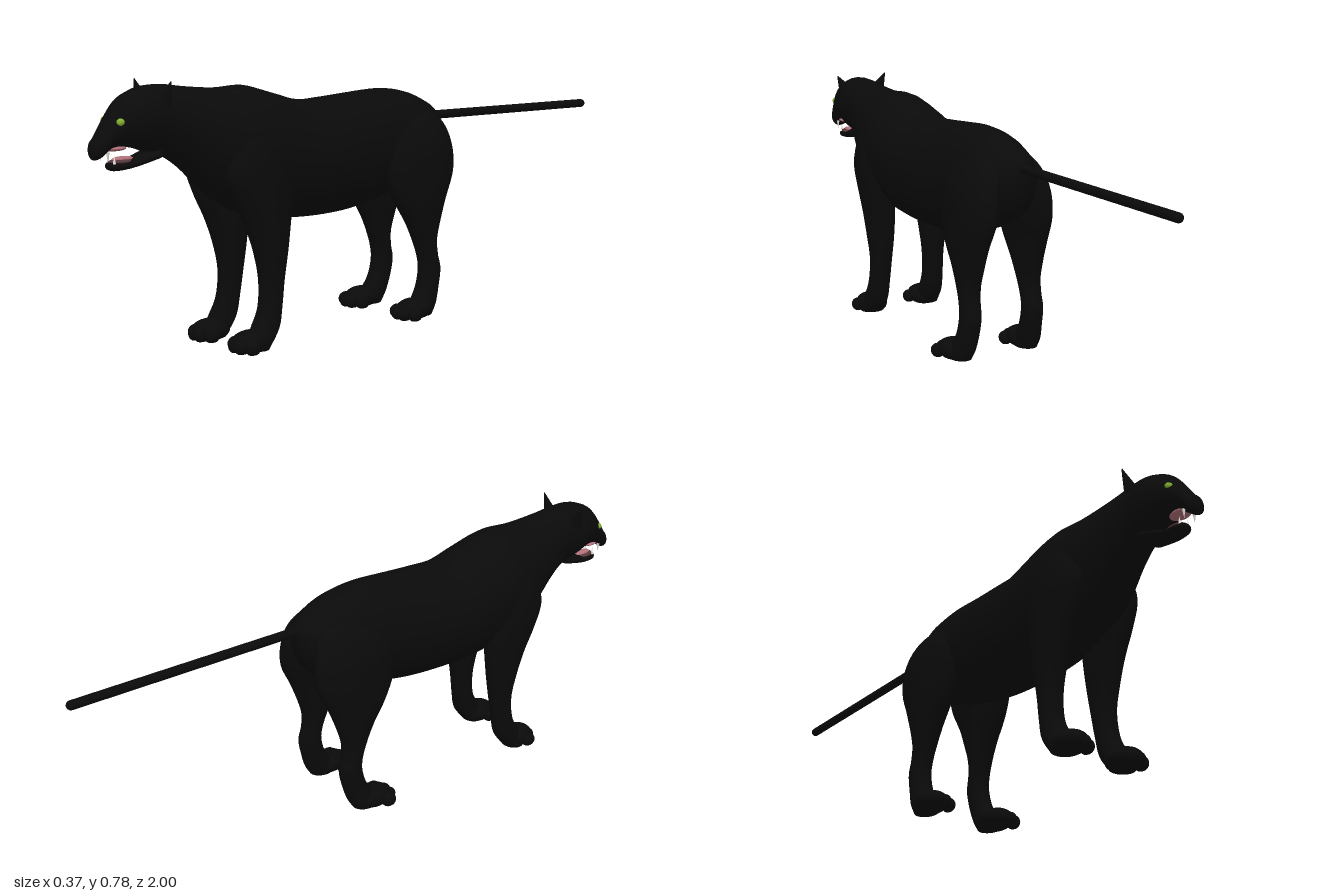
import * as THREE from 'three';

const material = (name, color) => {
  const m = new THREE.MeshStandardMaterial({ color });
  m.name = name;
  return m;
};

// Smooth skin over elliptical rings. Each row is spline-interpolated, then
// toRing(row) gives { c: centre, u, v: the two half axes }.
function loft(rows, toRing, steps = 5, sides = 32) {
  const stride = rows[0].length;
  const spline = new THREE.CubicInterpolant(rows.map((_, i) => i), rows.flat(), stride);
  const rings = [];
  const last = (rows.length - 1) * steps;
  for (let i = 0; i <= last; i++) rings.push(toRing([...spline.evaluate(i / steps)]));
  const zero = new THREE.Vector3();
  rings.unshift({ c: rings[0].c, u: zero, v: zero });
  rings.push({ c: rings[last + 1].c, u: zero, v: zero });

  const pos = [], index = [];
  rings.forEach(({ c, u, v }, i) => {
    for (let j = 0; j < sides; j++) {
      const t = (j / sides) * Math.PI * 2;
      const p = c.clone().addScaledVector(u, Math.cos(t)).addScaledVector(v, Math.sin(t));
      pos.push(p.x, p.y, p.z);
      if (i === rings.length - 1) continue;
      const a = i * sides + j, b = i * sides + ((j + 1) % sides);
      index.push(a, b, b + sides, a, b + sides, a + sides);
    }
  });
  const g = new THREE.BufferGeometry();
  g.setAttribute('position', new THREE.Float32BufferAttribute(pos, 3));
  g.setIndex(index);
  g.computeVertexNormals();
  return g;
}

// Row: z, top, bottom, half width
const alongZ = ([z, top, bottom, w]) => ({
  c: new THREE.Vector3(0, (top + bottom) / 2, z),
  u: new THREE.Vector3(Math.max(w, 0.002), 0, 0),
  v: new THREE.Vector3(0, Math.max((top - bottom) / 2, 0.002), 0),
});

// Row: y, centre x, half width, front z, back z
const downLeg = (s) => ([y, x, w, front, back]) => ({
  c: new THREE.Vector3(s * x, y, (front + back) / 2),
  u: new THREE.Vector3(w, 0, 0),
  v: new THREE.Vector3(0, 0, (front - back) / 2),
});

// Ellipsoid whose underside is flattened at the given floor height
function pad(x, y, z, rx, ry, rz, floor = -1) {
  const g = new THREE.SphereGeometry(1, 24, 16).scale(rx, ry, rz).translate(x, y, z);
  const p = g.attributes.position;
  for (let i = 0; i < p.count; i++) p.setY(i, Math.max(p.getY(i), floor));
  g.computeVertexNormals();
  return g;
}

const BODY = [
  [-0.262, 0.635, 0.58, 0.012], [-0.245, 0.655, 0.52, 0.05], [-0.2, 0.68, 0.46, 0.09],
  [-0.12, 0.71, 0.42, 0.11], [-0.02, 0.722, 0.385, 0.118], [0.1, 0.715, 0.36, 0.126],
  [0.2, 0.707, 0.352, 0.138], [0.3, 0.704, 0.352, 0.144], [0.4, 0.73, 0.36, 0.148],
  [0.5, 0.755, 0.38, 0.144], [0.6, 0.752, 0.43, 0.122], [0.7, 0.76, 0.52, 0.092],
  [0.77, 0.769, 0.568, 0.077], [0.83, 0.768, 0.585, 0.076], [0.87, 0.757, 0.6, 0.07],
  [0.91, 0.735, 0.605, 0.056], [0.945, 0.69, 0.6, 0.045], [0.975, 0.645, 0.578, 0.036],
  [0.993, 0.628, 0.576, 0.022], [1.0, 0.612, 0.592, 0.006],
];
const JAW = [
  [0.8, 0.6, 0.565, 0.05], [0.85, 0.582, 0.552, 0.042], [0.89, 0.568, 0.544, 0.034],
  [0.925, 0.566, 0.541, 0.028], [0.942, 0.566, 0.544, 0.02], [0.95, 0.56, 0.552, 0.006],
];
const FRONT_LEG = [
  [0.66, 0.075, 0.025, 0.56, 0.47], [0.61, 0.088, 0.05, 0.6, 0.43], [0.52, 0.1, 0.052, 0.625, 0.405],
  [0.44, 0.101, 0.05, 0.6, 0.4], [0.36, 0.1, 0.048, 0.56, 0.41], [0.28, 0.1, 0.044, 0.53, 0.422],
  [0.2, 0.1, 0.037, 0.514, 0.435], [0.12, 0.103, 0.036, 0.52, 0.447], [0.06, 0.105, 0.039, 0.548, 0.46],
  [0.005, 0.106, 0.04, 0.57, 0.5],
];
const HIND_LEG = [
  [0.66, 0.05, 0.025, -0.05, -0.18], [0.61, 0.072, 0.045, 0.01, -0.23], [0.54, 0.09, 0.055, 0.035, -0.25],
  [0.46, 0.098, 0.055, 0.03, -0.248], [0.38, 0.104, 0.05, -0.004, -0.212], [0.31, 0.106, 0.043, -0.05, -0.185],
  [0.25, 0.108, 0.036, -0.08, -0.168], [0.2, 0.11, 0.033, -0.098, -0.17], [0.155, 0.112, 0.033, -0.103, -0.18],
  [0.1, 0.114, 0.034, -0.09, -0.17], [0.05, 0.118, 0.037, -0.06, -0.155], [0.015, 0.12, 0.034, -0.05, -0.135],
];

export function createModel() {
  const model = new THREE.Group();
  model.name = 'bigCat';
  const fur = material('black fur', 0x0a0a0a);
  const iris = material('green eye', 0x7fae2f);
  const pink = material('tongue pink', 0xb07078);
  const gum = material('dark gum', 0x54373a);
  const ivory = material('tooth white', 0xf2efe6);

  const add = (name, geometry, mat, parent = model) => {
    const mesh = new THREE.Mesh(geometry, mat);
    mesh.name = name;
    parent.add(mesh);
    return mesh;
  };

  // Trunk, neck, skull and muzzle in one skin, with the open lower jaw
  add('body', loft(BODY, alongZ), fur);
  add('lowerJaw', loft(JAW, alongZ), fur);

  // Mouth lining and tongue
  add('gum', pad(0, 0.566, 0.907, 0.025, 0.007, 0.036), gum);
  add('tongue', pad(0, 0.572, 0.9, 0.015, 0.008, 0.034), pink);
  add('palate', pad(0, 0.603, 0.925, 0.026, 0.008, 0.035), pink);

  // Straight tail with rounded tip
  add('tail', new THREE.CapsuleGeometry(0.014, 0.742, 8, 20).rotateX(Math.PI / 2)
    .translate(0, 0.625, -0.615), fur);

  for (const s of [1, -1]) {
    const side = s > 0 ? 'left' : 'right';

    // Pointed ears leaning outwards
    const ear = add(side + 'Ear', new THREE.CylinderGeometry(0.002, 0.027, 0.066, 20)
      .scale(1, 1, 0.55), fur);
    ear.position.set(s * 0.076, 0.752, 0.8);
    ear.rotation.z = -s * 0.5;

    // Slanted eyes
    const eye = add(side + 'Eye', new THREE.SphereGeometry(0.013, 20, 14).scale(1, 0.85, 0.8), iris);
    eye.position.set(s * 0.041, 0.675, 0.929);
    eye.rotation.set(0, s * 0.5, s * 0.4);

    // Upper and lower fangs
    add(side + 'UpperFang', new THREE.ConeGeometry(0.005, 0.028, 10).rotateX(Math.PI)
      .translate(s * 0.02, 0.582, 0.957), ivory);
    add(side + 'LowerFang', new THREE.ConeGeometry(0.0045, 0.024, 10)
      .translate(s * 0.016, 0.574, 0.935), ivory);

    // Legs with four-toed paws; paw: x, z, floor, toe reach
    const legs = [
      ['Front', FRONT_LEG, 0.1, 0.55, 0, 0.592],
      ['Hind', HIND_LEG, 0.124, -0.065, 0.01, -0.014],
    ];
    for (const [end, rows, x, z, floor, toeZ] of legs) {
      const leg = new THREE.Group();
      leg.name = side + end + 'Leg';
      model.add(leg);
      add('limb', loft(rows, downLeg(s)), fur, leg);
      add('paw', pad(s * x, floor + 0.028, z, 0.05, 0.034, 0.062, floor), fur, leg);
      for (let i = 0; i < 4; i++) {
        const k = i - 1.5;
        const back = Math.abs(k) > 1 ? 0.018 : 0;
        add('toe', pad(s * x + k * 0.028, floor + 0.019, toeZ - back, 0.0195, 0.022, 0.025, floor), fur, leg);
      }
    }
  }
  return model;
}
